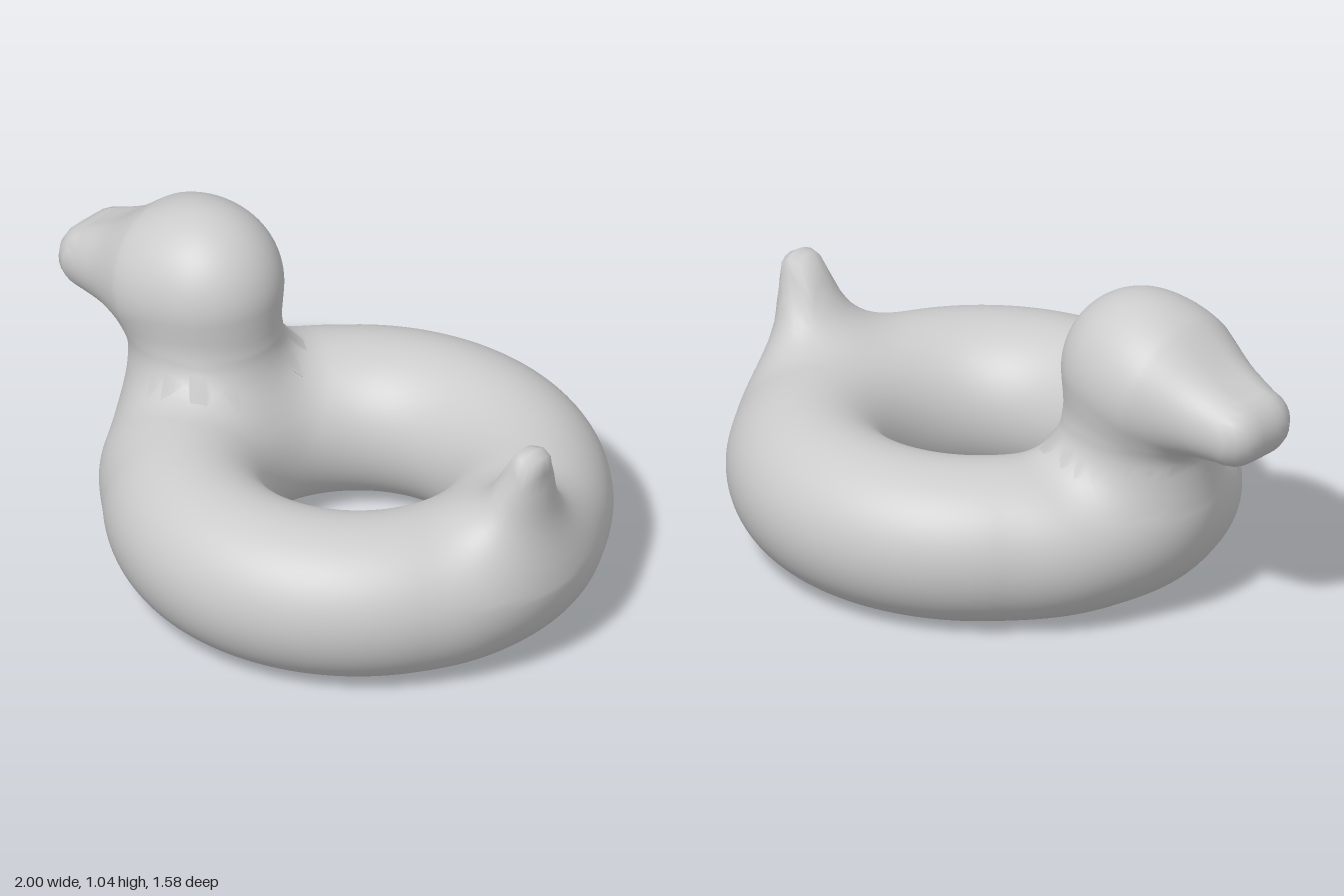
import * as THREE from 'three';

const CENTER_X = 0.175, CORE_Y = 0.258, RING = 0.532, TUBE = 0.256;
const HEAD = new THREE.Vector3(-0.48, 0.785, 0);

// Rounded union of two distances
function blend(a, b, k) {
  const h = Math.max(k - Math.abs(a - b), 0) / k;
  return Math.min(a, b) - h * h * k / 4;
}

// Tapered capsule between two points of the x-y plane
function taper(x, y, z, ax, ay, ar, bx, by, br) {
  const dx = bx - ax, dy = by - ay;
  const t = THREE.MathUtils.clamp(((x - ax) * dx + (y - ay) * dy) / (dx * dx + dy * dy), 0, 1);
  return Math.hypot(x - ax - dx * t, y - ay - dy * t, z) - (ar + (br - ar) * t);
}

// Ring whose outer side swells at the breast (-x) and a little at the tail (+x)
function ringField(x, y, z) {
  const radius = Math.hypot(x - CENTER_X, z), c = (x - CENTER_X) / (radius + 1e-6);
  const swell = 1 + 0.17 * THREE.MathUtils.smoothstep(-c, 0.7, 0.97)
    + 0.06 * THREE.MathUtils.smoothstep(c, 0.85, 1);
  const q = radius - RING;
  return Math.hypot(q > 0 ? q / swell : q, y - CORE_Y) - TUBE;
}

// Distance to the softly inflated form: ring, neck, head, bill and tail
function field(x, y, z) {
  const neck = taper(x, y, z / 0.92, -0.47, 0.4, 0.22, -0.475, 0.62, 0.247);
  const skull = Math.hypot(x - HEAD.x, y - HEAD.y, z * 1.06) - 0.26;
  const bill = taper(x, y, Math.max(Math.abs(z) - 0.05, 0), -0.62, 0.77, 0.178, -0.888, 0.718, 0.11);
  const tail = taper(x, y, z / 1.3, 0.81, 0.34, 0.16, 0.9, 0.703, 0.06);
  const head = blend(blend(skull, bill, 0.12), neck, 0.05);
  return blend(blend(ringField(x, y, z), head, 0.18), tail, 0.13);
}

// Push each vertex outward from its origin until it meets the form
function inflate(geometry, originOf, limitOf) {
  const pos = geometry.attributes.position, normal = geometry.attributes.normal;
  const p = new THREE.Vector3(), o = new THREE.Vector3(), d = new THREE.Vector3(), n = new THREE.Vector3();
  const at = (t) => field(o.x + d.x * t, o.y + d.y * t, o.z + d.z * t);
  const e = 0.004;
  for (let i = 0; i < pos.count; i++) {
    p.fromBufferAttribute(pos, i);
    originOf(p, o);
    d.subVectors(p, o).normalize();
    const limit = limitOf(o, d);
    let hi = 0;
    while (hi < limit && at(hi) < 0) hi += 0.01;
    let lo = Math.max(hi - 0.01, 0);
    hi = Math.min(hi, limit);
    for (let j = 0; j < 14; j++) {
      const mid = (lo + hi) / 2;
      if (at(mid) < 0) lo = mid; else hi = mid;
    }
    p.copy(o).addScaledVector(d, hi);
    pos.setXYZ(i, p.x, p.y, p.z);
    n.set(
      field(p.x + e, p.y, p.z) - field(p.x - e, p.y, p.z),
      field(p.x, p.y + e, p.z) - field(p.x, p.y - e, p.z),
      field(p.x, p.y, p.z + e) - field(p.x, p.y, p.z - e)
    ).normalize();
    normal.setXYZ(i, n.x, n.y, n.z);
  }
  return geometry;
}

export function createModel() {
  const group = new THREE.Group();
  group.name = 'swimRing';
  const material = new THREE.MeshStandardMaterial({ color: 0xcccccc });

  // Ring with the tail and the base of the neck
  const ring = new THREE.TorusGeometry(RING, TUBE, 96, 180);
  ring.rotateX(-Math.PI / 2).translate(CENTER_X, CORE_Y, 0);
  inflate(ring, (p, o) => {
    const a = Math.atan2(p.z, p.x - CENTER_X);
    o.set(CENTER_X + Math.cos(a) * RING, CORE_Y, Math.sin(a) * RING);
  }, (o, d) => (o.x < 0 && d.y > 0 ? Math.min(0.6, (0.57 - o.y) / d.y) : 0.7));
  const body = new THREE.Mesh(ring, material);
  body.name = 'ringAndTail';

  // Head with the bill and the upper neck, ending inside the ring
  const ball = new THREE.SphereGeometry(0.2, 96, 72);
  ball.translate(HEAD.x, HEAD.y, HEAD.z);
  inflate(ball, (p, o) => o.copy(HEAD),
    (o, d) => (d.y < 0 ? Math.min(0.8, (0.48 - o.y) / d.y) : 0.8));
  const head = new THREE.Mesh(ball, material);
  head.name = 'headAndBill';

  group.add(body, head);
  return group;
}
